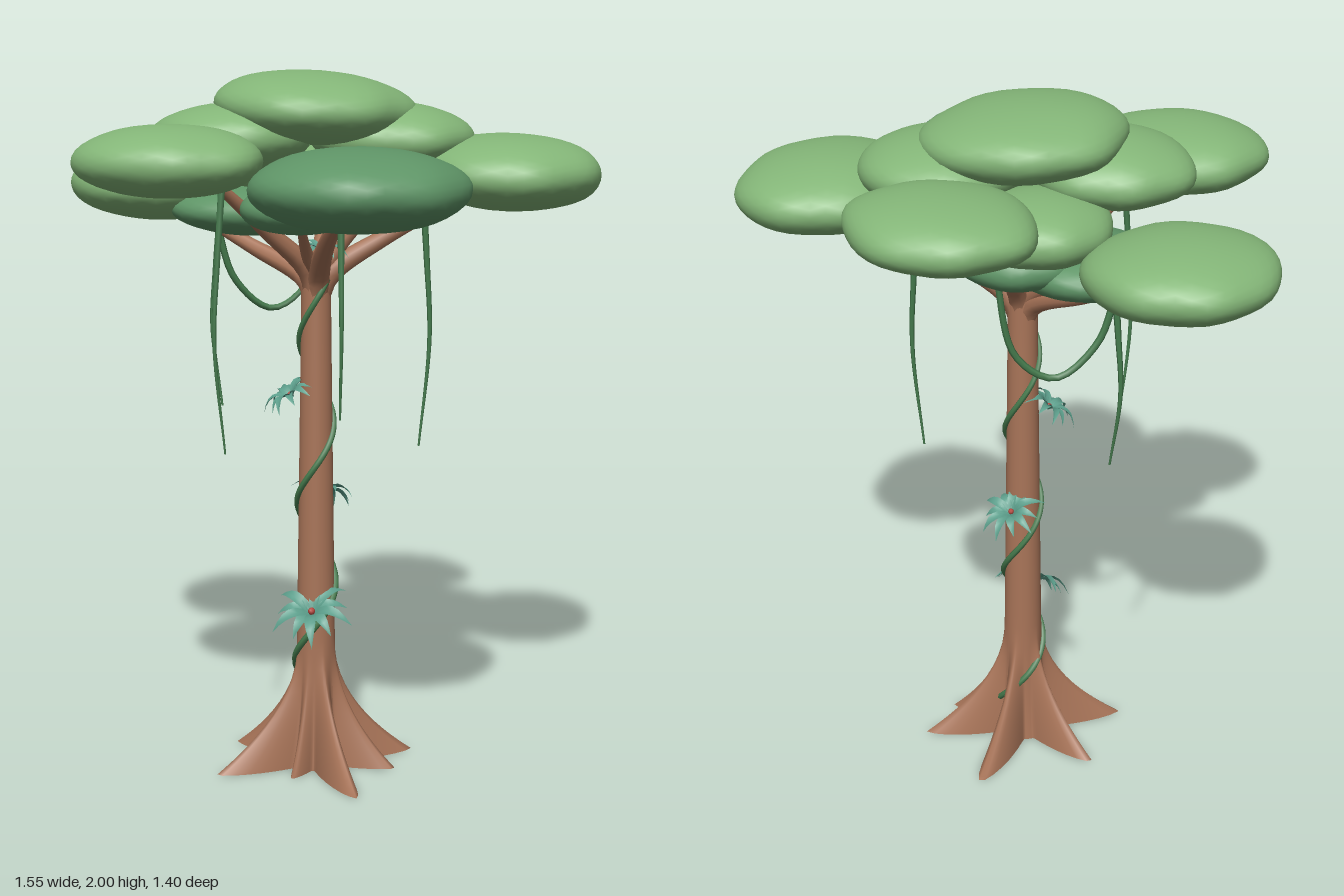
import * as THREE from 'three';
import { mergeVertices } from 'three/addons/utils/BufferGeometryUtils.js';

const V = (x, y, z) => new THREE.Vector3(x, y, z);

function makeMaterial(name, color, side = THREE.FrontSide) {
  const m = new THREE.MeshStandardMaterial({ color, side });
  m.name = name;
  return m;
}

// Moves every vertex by a rule, then rebuilds seamless smooth normals
function reshape(geometry, rule) {
  geometry.deleteAttribute('uv');
  geometry.deleteAttribute('normal');
  const g = mergeVertices(geometry, 1e-5);
  const p = g.attributes.position, v = V(0, 0, 0);
  for (let i = 0; i < p.count; i++) {
    rule(v.fromBufferAttribute(p, i));
    p.setXYZ(i, v.x, v.y, v.z);
  }
  g.computeVertexNormals();
  return g;
}

// Tube along a curve whose radius runs from r0 to r1
function taperTube(points, r0, r1, segments = 16, sides = 8) {
  const curve = new THREE.CatmullRomCurve3(points);
  const g = new THREE.TubeGeometry(curve, segments, 1, sides);
  const p = g.attributes.position, v = V(0, 0, 0);
  for (let i = 0; i < p.count; i++) {
    const t = Math.floor(i / (sides + 1)) / segments;
    const c = curve.getPointAt(t);
    v.fromBufferAttribute(p, i).sub(c).multiplyScalar(r0 + (r1 - r0) * t).add(c);
    p.setXYZ(i, v.x, v.y, v.z);
  }
  return g;
}

// Buttress roots: [angle in degrees from +x towards +z, reach]
const ROOTS = [[45, 0.31], [134, 0.31], [190, 0.285], [260, 0.32], [318, 0.3], [352, 0.24], [92, 0.16]];
const CX = 0.02, CZ = 0.01, TRUNK_TOP = 1.44;

const coreRadius = y => 0.06 - 0.018 * Math.min(1, y / 1.35);

function trunkRadius(a, y) {
  const core = coreRadius(y);
  const flare = Math.max(0, 1 - y / 0.38) ** 2.2;
  let reach = 0.025;
  for (const [deg, length] of ROOTS) {
    let d = a - deg * Math.PI / 180;
    d = Math.atan2(Math.sin(d), Math.cos(d));
    reach = Math.max(reach, (length - core) * Math.exp(-Math.pow(Math.abs(d) / 0.25, 1.5)));
  }
  return core + flare * reach;
}

// Flattened, slightly lumpy leaf cushion
function cushion(rx, ry, rz, seed) {
  return reshape(new THREE.IcosahedronGeometry(1, 6), v => {
    const k = 1 + 0.02 * Math.sin(3.1 * v.x + seed * 2.3) + 0.018 * Math.sin(4.3 * v.z + seed * 1.7 + 2 * v.y)
      + 0.018 * Math.sin(6 * (v.x - v.z) + seed);
    v.set(v.x * k * rx, Math.sign(v.y) * Math.pow(Math.abs(v.y), 0.95) * ry, v.z * k * rz);
  });
}

// Arched pointed blade lying along +y, arching towards +z
function bladeGeometry(length, width) {
  const g = new THREE.PlaneGeometry(1, 1, 2, 6);
  const p = g.attributes.position;
  for (let i = 0; i < p.count; i++) {
    const s = p.getX(i) * 2, t = p.getY(i) + 0.5;
    const w = width * Math.sin(Math.PI * (0.15 + 0.85 * t)) * 0.5;
    p.setXYZ(i, s * w, length * t, length * 1.2 * (t - t * t) + Math.abs(s) * w * 0.4);
  }
  g.computeVertexNormals();
  return g;
}

export function createModel() {
  const tree = new THREE.Group();
  tree.name = 'canopyTree';
  const bark = makeMaterial('bark brown', 0xa87458);
  const lightLeaf = makeMaterial('light leaf green', 0x84b678);
  const darkLeaf = makeMaterial('dark leaf green', 0x5f9567);
  const vineGreen = makeMaterial('vine green', 0x467c4e);
  const teal = makeMaterial('plant teal', 0x5c9e8b, THREE.DoubleSide);
  const red = makeMaterial('flower red', 0xb5483f);
  const add = (name, geometry, material, parent = tree) => {
    const m = new THREE.Mesh(geometry, material);
    m.name = name;
    parent.add(m);
    return m;
  };

  // Trunk flaring into buttress roots, with a solid core standing on the ground
  add('trunk', reshape(new THREE.CylinderGeometry(1, 1, 1, 120, 32, true), v => {
    const y = TRUNK_TOP * Math.pow(Math.max(0, v.y + 0.5), 1.6);
    const a = Math.atan2(v.z, v.x), r = trunkRadius(a, y);
    v.set(CX + r * Math.cos(a), y, CZ + r * Math.sin(a));
  }), bark);
  add('trunkCore', new THREE.CylinderGeometry(0.05, 0.075, 0.4, 24), bark).position.set(CX, 0.2, CZ);

  // Branches spreading from the trunk head: tip and thickness
  const branches = [
    [-0.42, 1.6, -0.06, 0.026], [0.42, 1.67, -0.15, 0.028], [-0.05, 1.76, -0.36, 0.024],
    [-0.15, 1.73, 0.34, 0.026], [0.24, 1.66, 0.33, 0.028], [-0.2, 1.62, -0.05, 0.02],
    [0.2, 1.64, -0.02, 0.02], [0.06, 1.63, 0.22, 0.018],
  ];
  for (const [x, y, z, r] of branches) {
    const h = y - 1.38;
    add('branch', taperTube([
      V(CX, 1.36, CZ), V(CX + x * 0.08, 1.38 + h * 0.2, CZ + z * 0.08),
      V(x * 0.45, 1.38 + h * 0.55, z * 0.45), V(x, y, z),
    ], r + 0.008, r * 0.45), bark);
  }

  // Leaf cushions: centre, radii, colour, tilt
  const cushions = [
    [-0.06, 1.82, -0.48, 0.26, 0.09, 0.225, lightLeaf, 0],
    [-0.52, 1.665, -0.08, 0.25, 0.1, 0.26, lightLeaf, -0.03],
    [0.515, 1.725, -0.185, 0.26, 0.105, 0.275, lightLeaf, -0.03],
    [-0.2, 1.775, 0.455, 0.255, 0.095, 0.235, lightLeaf, 0],
    [0.31, 1.715, 0.415, 0.28, 0.108, 0.285, darkLeaf, 0],
    [0.015, 1.9, 0.02, 0.285, 0.1, 0.28, lightLeaf, -0.06],
    [0.2, 1.82, -0.1, 0.23, 0.095, 0.23, lightLeaf, -0.04],
    [-0.18, 1.82, 0.14, 0.225, 0.095, 0.22, lightLeaf, 0.04],
    [-0.12, 1.72, -0.13, 0.2, 0.09, 0.2, lightLeaf, 0],
    [-0.2, 1.61, -0.04, 0.23, 0.075, 0.2, darkLeaf, 0],
    [0.21, 1.645, -0.04, 0.2, 0.075, 0.17, darkLeaf, 0],
    [-0.07, 1.64, -0.17, 0.18, 0.075, 0.15, darkLeaf, 0],
    [0.07, 1.64, 0.24, 0.16, 0.065, 0.16, darkLeaf, 0],
  ];
  cushions.forEach(([x, y, z, rx, ry, rz, material, tilt], i) => {
    const m = add('leafCushion', cushion(rx, ry, rz, i + 1), material);
    m.position.set(x, y, z);
    m.rotation.z = tilt;
  });

  // Vine winding up the trunk, passing behind the roots
  const winding = [];
  for (let y = 0.05; y <= 1.46; y += 0.03) {
    const a = Math.PI / 2 - 2 * Math.PI * (y - 0.4) / 0.47;
    const r = coreRadius(y) + 0.004 + 0.03 * Math.max(0, 1 - y / 0.38) ** 2;
    winding.push(V(CX + r * Math.cos(a), y, CZ + r * Math.sin(a)));
  }
  add('windingVine', taperTube(winding, 0.01, 0.008, 160, 6), vineGreen);

  // Hanging vines: x, z, top, bottom, bow along x and z
  const hanging = [
    [-0.3, -0.04, 1.6, 1.03, -0.035, -0.01], [-0.125, 0.3, 1.74, 0.97, -0.015, 0.03],
    [0.19, 0.24, 1.66, 1.08, 0.012, 0.02], [0.29, -0.1, 1.72, 0.95, 0.025, -0.01],
  ];
  for (const [x, z, top, bottom, bowX, bowZ] of hanging) {
    const at = t => top + (bottom - top) * t;
    add('hangingVine', taperTube([
      V(x, top, z), V(x + bowX * 0.6, at(0.3), z + bowZ * 0.6),
      V(x + bowX, at(0.6), z + bowZ), V(x, bottom, z),
    ], 0.011, 0.003, 24, 6), vineGreen);
  }
  add('loopVine', taperTube([
    V(-0.31, 1.57, -0.03), V(-0.27, 1.4, -0.07), V(-0.19, 1.31, -0.15),
    V(-0.11, 1.38, -0.22), V(-0.07, 1.66, -0.26),
  ], 0.01, 0.009, 28, 6), vineGreen);

  // Leaf rosettes growing on the trunk: position, outward direction, size
  const rosettes = [
    [V(0.035, 0.465, 0.07), V(0.1, 1, 0.65), 0.12],
    [V(0.01, 0.785, -0.06), V(0, 1, -0.6), 0.095],
    [V(-0.035, 1.09, 0.05), V(-0.5, 1, 0.4), 0.09],
    [V(0.04, 1.5, 0.02), V(0.1, 1, 0.1), 0.08],
  ];
  for (const [position, direction, size] of rosettes) {
    const plant = new THREE.Group();
    plant.name = 'rosettePlant';
    plant.position.copy(position);
    plant.quaternion.setFromUnitVectors(V(0, 0, 1), direction.normalize());
    for (let i = 0; i < 11; i++) {
      const blade = add('blade', bladeGeometry(size * (i % 2 ? 0.85 : 1.05), size * 0.28), teal, plant);
      blade.rotation.z = i * Math.PI * 2 / 11;
    }
    const flower = add('flower', new THREE.SphereGeometry(size * 0.09, 8, 6), red, plant);
    flower.position.z = size * 0.14;
    tree.add(plant);
  }
  return tree;
}
